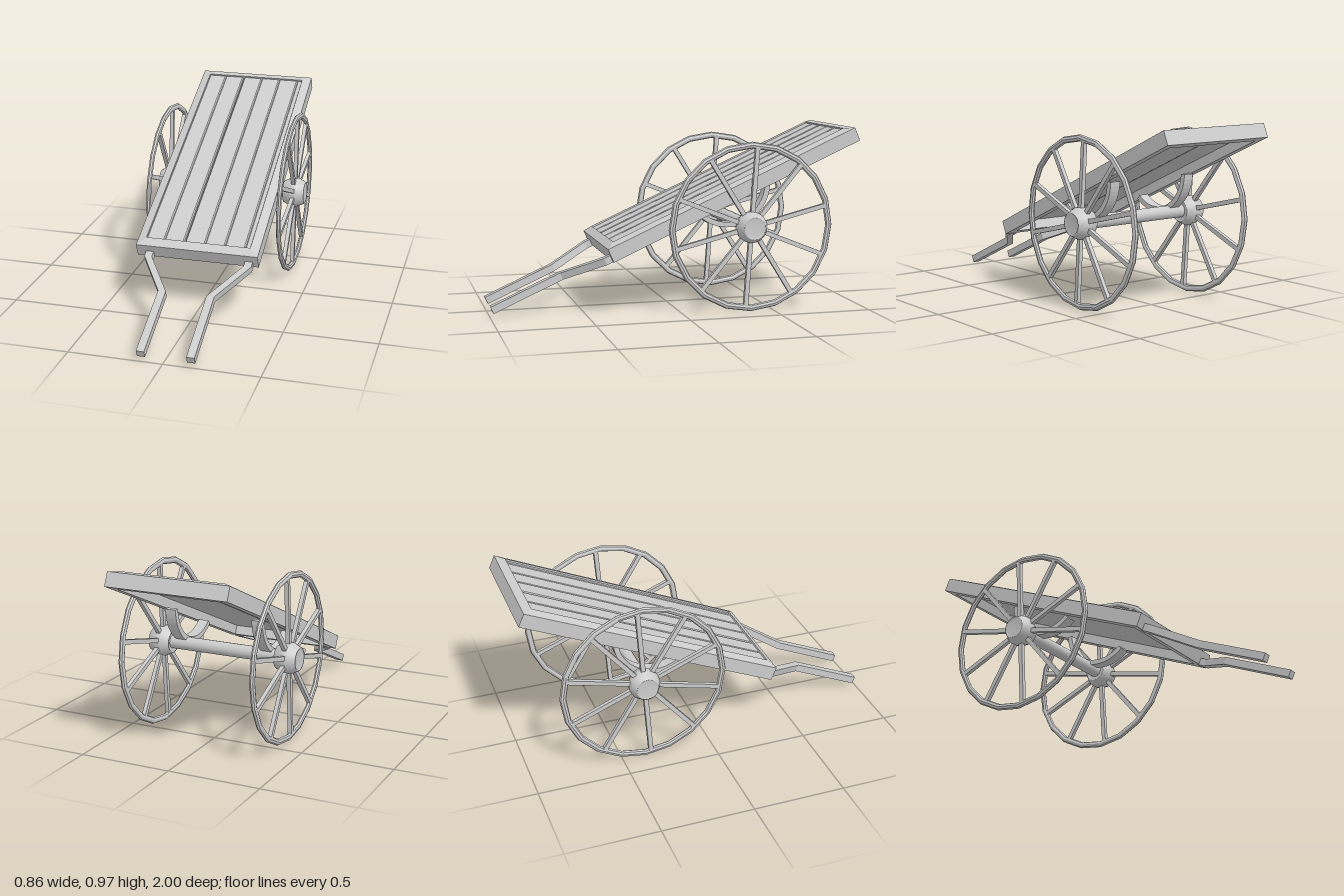
import * as THREE from 'three';

const material = new THREE.MeshStandardMaterial({ color: 0xcccccc });
const flat = new THREE.MeshStandardMaterial({ color: 0xcccccc, flatShading: true });

const TILT = THREE.MathUtils.degToRad(24);
const BED_Y = 0.635, BED_Z = -0.3;      // centre of the tilted bed
const BED_W = 0.667, BED_L = 1.5, BED_H = 0.076;
const AXLE_Y = 0.458, AXLE_Z = -0.372;

function part(name, geometry, mat = flat) {
  const mesh = new THREE.Mesh(geometry, mat);
  mesh.name = name;
  return mesh;
}

function extrude(points, depth) {
  const shape = new THREE.Shape(points.map(([x, y]) => new THREE.Vector2(x, y)));
  return new THREE.ExtrudeGeometry(shape, { depth, bevelEnabled: false });
}

// Mitred frame: a profile of [inset, height] carried round four corners
function frameGeometry() {
  const h = BED_H / 2;
  const profile = [[0, -h], [0, h], [0.048, h + 0.015], [0.048, -h]];
  const corners = [[-1, 1], [1, 1], [1, -1], [-1, -1]];
  const at = (c, p) => {
    const [sx, sz] = corners[c % 4], [inset, y] = profile[p % 4];
    return [sx * (BED_W / 2 - inset), y, sz * (BED_L / 2 - inset)];
  };
  const pos = [];
  for (let c = 0; c < 4; c++) {
    for (let p = 0; p < 4; p++) {
      const a = at(c, p), b = at(c + 1, p), d = at(c + 1, p + 1), e = at(c, p + 1);
      pos.push(...a, ...b, ...d, ...a, ...d, ...e);
    }
  }
  const g = new THREE.BufferGeometry();
  g.setAttribute('position', new THREE.Float32BufferAttribute(pos, 3));
  g.computeVertexNormals();
  return g;
}

// Planks with chamfered top edges, one open joint
function buildPlanks() {
  const group = new THREE.Group();
  group.name = 'planks';
  const joints = [-0.288, -0.187, -0.076, 0.037, 0.146, 0.256, 0.288];
  const top = 0.044, bottom = 0.014, ch = 0.006, length = BED_L - 0.09;
  for (let i = 0; i < 6; i++) {
    const l = joints[i] + (i === 2 ? 0.003 : 0);
    const r = joints[i + 1] - (i === 1 ? 0.003 : 0);
    const plank = part('plank', extrude([
      [l, bottom], [r, bottom], [r, top - ch], [r - ch, top], [l + ch, top], [l, top - ch],
    ], length));
    plank.position.z = -length / 2;
    group.add(plank);
  }
  return group;
}

// Cranked pull handle, constant width across x
function buildHandle(side) {
  const w = 0.021, path = [[0.272, 0.74], [0.272, 0.785], [0.13, 1.015], [0.13, 1.42]];
  const outline = [
    ...path.map(([x, z]) => [side * x - w, z]),
    ...path.map(([x, z]) => [side * x + w, z]).reverse(),
  ];
  const g = extrude(outline, 0.04);
  g.rotateX(Math.PI / 2);               // shape y becomes z, depth goes down
  const handle = part('handle', g);
  handle.position.set(0.011, -0.002, 0);
  return handle;
}

// Curved cradle strap hanging from the bed and carrying the axle
function buildBracket(x) {
  const shape = new THREE.Shape();
  const half = 1.12, mid = -Math.PI / 2;
  shape.absarc(0, 0, 0.235, mid - half, mid + half, false);
  shape.absarc(0, 0, 0.207, mid + half, mid - half, true);
  const g = new THREE.ExtrudeGeometry(shape, { depth: 0.06, bevelEnabled: false, curveSegments: 10 });
  g.translate(0, 0, -0.03);
  g.rotateY(Math.PI / 2);
  const bracket = part('axleBracket', g);
  bracket.position.x = x;
  return bracket;
}

// Wheel built round the x axis, outer face towards +x
function buildWheel() {
  const wheel = new THREE.Group();
  wheel.name = 'wheel';

  const rim = part('rim', new THREE.TorusGeometry(0.438, 0.018, 8, 20));
  rim.scale.z = 0.75;
  rim.rotation.y = Math.PI / 2;
  wheel.add(rim);

  const spokeGeometry = new THREE.BoxGeometry(0.022, 0.37, 0.024);
  spokeGeometry.translate(0, 0.245, 0);
  for (let i = 0; i < 10; i++) {
    const spoke = part('spoke', spokeGeometry);
    spoke.rotation.x = -THREE.MathUtils.degToRad(4 + i * 36);
    wheel.add(spoke);
  }

  // Barrel hub with shallow recessed ends
  const profile = [
    [0, -0.055], [0.052, -0.055], [0.055, -0.06], [0.062, -0.06], [0.082, -0.02],
    [0.084, 0], [0.082, 0.02], [0.062, 0.06], [0.055, 0.06], [0.052, 0.055], [0, 0.055],
  ].map(([r, y]) => new THREE.Vector2(r, y));
  const hub = part('hub', new THREE.LatheGeometry(profile, 24), material);
  hub.rotation.z = -Math.PI / 2;
  wheel.add(hub);
  return wheel;
}

export function createModel() {
  const cart = new THREE.Group();
  cart.name = 'handcart';

  // Tilted bed with its handles
  const bed = new THREE.Group();
  bed.name = 'bed';
  bed.position.set(0.001, BED_Y, BED_Z);
  bed.rotation.x = TILT;
  bed.add(part('frame', frameGeometry()), buildPlanks(), buildHandle(1), buildHandle(-1));
  cart.add(bed);

  // Running gear
  const axle = part('axle', new THREE.CylinderGeometry(0.036, 0.036, 0.68, 16), material);
  axle.rotation.z = Math.PI / 2;
  axle.position.set(0, AXLE_Y, AXLE_Z);
  cart.add(axle);

  const cradle = new THREE.Group();
  cradle.name = 'axleCradle';
  cradle.position.set(0, AXLE_Y + 0.247 * Math.cos(TILT), AXLE_Z + 0.247 * Math.sin(TILT));
  cradle.rotation.x = TILT;
  cradle.add(buildBracket(0.25), buildBracket(-0.25));
  cart.add(cradle);

  for (const side of [1, -1]) {
    const wheel = buildWheel();
    wheel.position.set(side * 0.369, AXLE_Y, AXLE_Z);
    cart.add(wheel);
  }
  return cart;
}
